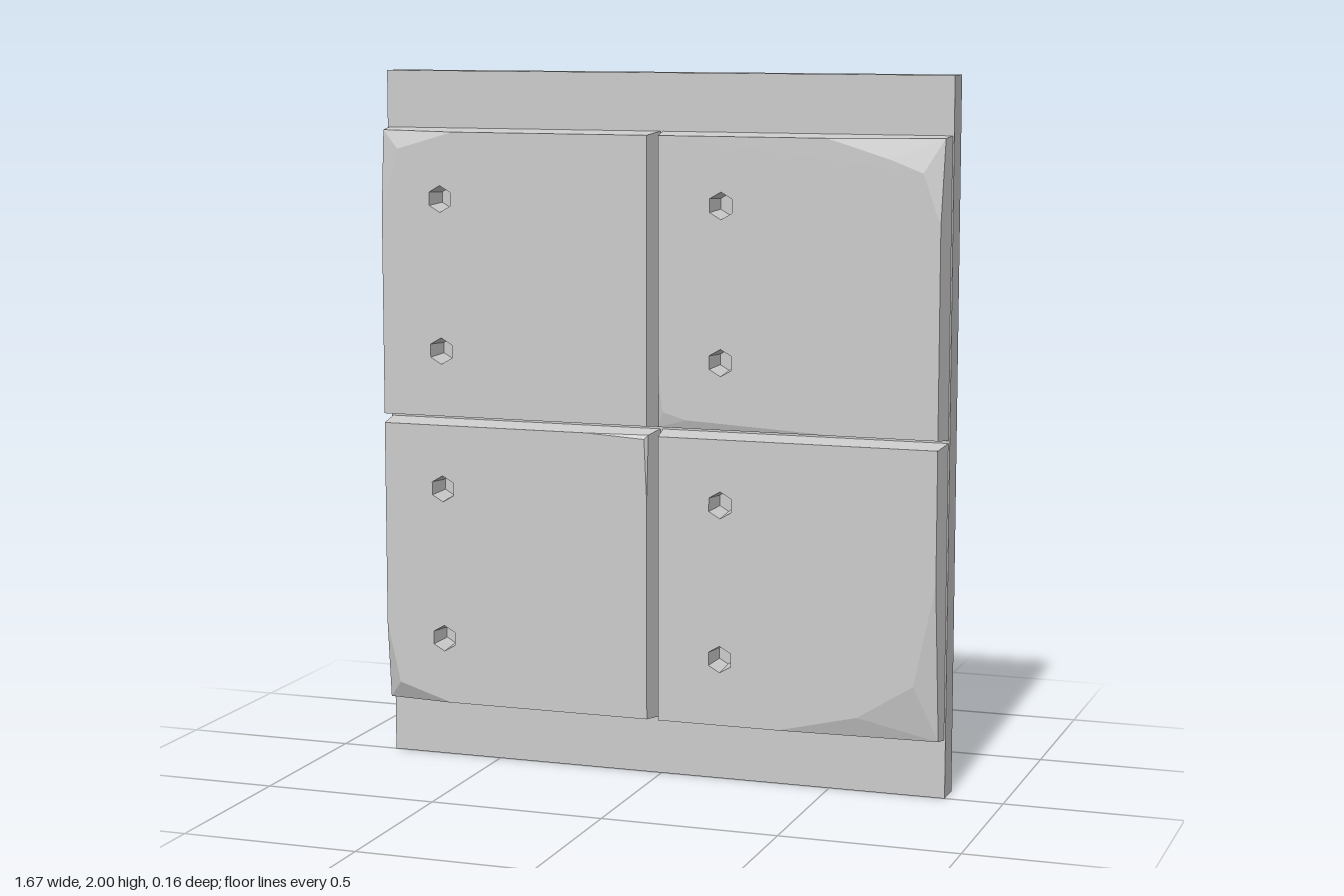
import * as THREE from 'three';

const FRONT = 0.08; // height of the tile faces above the slab
const material = new THREE.MeshStandardMaterial({ color: 0xcccccc, flatShading: true });

function hexagon(x, y, r) {
  return Array.from({ length: 6 }, (_, i) => {
    const a = Math.PI / 6 + (i * Math.PI) / 3;
    return [x + r * Math.cos(a), y + r * Math.sin(a)];
  });
}

// Tapered stone tile. Corners run counter-clockwise from bottom left.
// chips[i] = { low, path }: corner i drops to height low, and path is the break line on the face.
function makeTile({ x, y, holes, chips }) {
  const rect = ([x0, x1], [y0, y1]) => [[x0, y0], [x1, y0], [x1, y1], [x0, y1]];
  const top = rect(x.front, y.front);
  const base = rect(x.base, y.base).map(([a, b]) => new THREE.Vector3(a, b, 0));
  const at = ([a, b], z = FRONT) => new THREE.Vector3(a, b, z);
  const positions = [];
  const fan = (...p) => {
    for (let i = 1; i < p.length - 1; i++) {
      for (const v of [p[0], p[i], p[i + 1]]) positions.push(v.x, v.y, v.z);
    }
  };

  // Flat face with hexagonal holes
  const outline = top.flatMap((c, i) => (chips[i] ? chips[i].path : [c]));
  const shape = new THREE.Shape(outline.map((p) => new THREE.Vector2(...p)));
  for (const [hx, hy] of holes) {
    shape.holes.push(new THREE.Path(hexagon(hx, hy, 0.038).map((p) => new THREE.Vector2(...p))));
  }
  const face = new THREE.ShapeGeometry(shape).toNonIndexed().translate(0, 0, FRONT);
  for (const n of face.attributes.position.array) positions.push(n);

  // Broken corners
  const corners = top.map((c, i) => {
    const p = at(c);
    return chips[i] ? p.lerp(base[i], 1 - chips[i].low / FRONT) : p;
  });
  Object.entries(chips).forEach(([i, { path }]) => {
    fan(corners[i], ...path.map((p) => at(p)).reverse());
  });

  // Sloping sides
  for (let i = 0; i < 4; i++) {
    const j = (i + 1) % 4;
    const side = [base[i], base[j], corners[j]];
    if (chips[j]) side.push(at(chips[j].path[0]));
    if (chips[i]) side.push(at(chips[i].path.at(-1)));
    fan(...side, corners[i]);
  }

  // Hole walls
  for (const [hx, hy] of holes) {
    const rim = hexagon(hx, hy, 0.038);
    const floor = hexagon(hx, hy, 0.03);
    for (let i = 0; i < 6; i++) {
      const j = (i + 1) % 6;
      fan(at(rim[i]), at(rim[j]), at(floor[j], 0), at(floor[i], 0));
    }
  }

  const geometry = new THREE.BufferGeometry();
  geometry.setAttribute('position', new THREE.Float32BufferAttribute(positions, 3));
  geometry.computeVertexNormals();
  return new THREE.Mesh(geometry, material);
}

export function createModel() {
  const group = new THREE.Group();

  // Back slab
  const slab = new THREE.Mesh(new THREE.BoxGeometry(1.668, 2, 0.08), material);
  slab.position.set(0, 1, -0.04);
  slab.name = 'backSlab';
  group.add(slab);

  // Rows and columns of the tile grid
  const left = { front: [-0.82, -0.017], base: [-0.83, -0.004], hole: -0.64 };
  const right = { front: [0.017, 0.82], base: [0.004, 0.83], hole: 0.2 };
  const upper = { front: [1.017, 1.83], base: [1.007, 1.838], holes: [1.205, 1.64] };
  const lower = { front: [0.175, 0.99], base: [0.167, 1.0], holes: [0.365, 0.805] };

  const tiles = [
    ['upperRightTile', left, upper, {
      3: { low: 0.055, path: [[-0.6, 1.83], [-0.77, 1.78], [-0.82, 1.6]] },
    }],
    ['upperLeftTile', right, upper, {
      0: { low: 0.07, path: [[0.017, 1.18], [0.03, 1.06], [0.1, 1.04], [0.54, 1.017]] },
      2: { low: 0.05, path: [[0.82, 1.6], [0.77, 1.74], [0.68, 1.775], [0.5, 1.83]] },
    }],
    ['lowerRightTile', left, lower, {
      0: { low: 0.05, path: [[-0.82, 0.4], [-0.78, 0.225], [-0.62, 0.175]] },
      2: { low: 0.07, path: [[-0.017, 0.8], [-0.025, 0.98], [-0.2, 0.99]] },
    }],
    ['lowerLeftTile', right, lower, {
      1: { low: 0.045, path: [[0.37, 0.175], [0.6, 0.23], [0.76, 0.33], [0.82, 0.62]] },
    }],
  ];
  for (const [name, x, y, chips] of tiles) {
    const tile = makeTile({ x, y, chips, holes: y.holes.map((h) => [x.hole, h]) });
    tile.name = name;
    group.add(tile);
  }
  return group;
}
